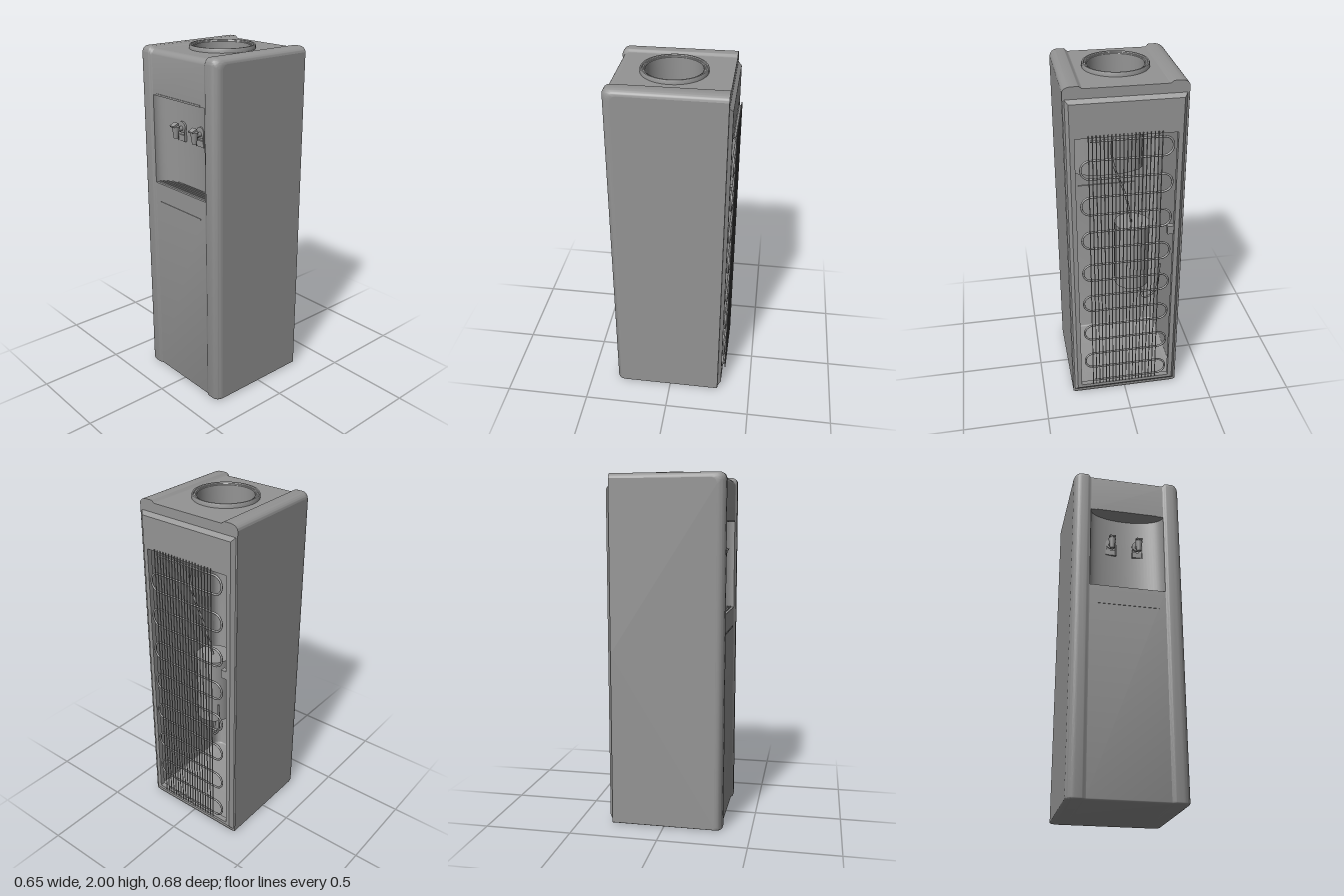
import * as THREE from 'three';
import { toCreasedNormals } from 'three/addons/utils/BufferGeometryUtils.js';

const mat = new THREE.MeshStandardMaterial({ color: 0x949494, side: THREE.DoubleSide });
const BACK = -0.3, FRONT = 0.327, TOP = 1.977, HALF = 0.22;
const ALCOVE_TOP = 1.73, ALCOVE_FLOOR = 1.22;

function add(parent, name, geometry, x = 0, y = 0, z = 0) {
  const mesh = new THREE.Mesh(geometry, mat);
  mesh.name = name;
  mesh.position.set(x, y, z);
  parent.add(mesh);
  return mesh;
}

const box = (p, name, w, h, d, x, y, z) => add(p, name, new THREE.BoxGeometry(w, h, d), x, y, z);

// Skin over rows of [x, y, z] points that all have the same length
function loft(rows, closed = false) {
  const n = rows[0].length, index = [];
  for (let i = 0; i < rows.length - 1; i++) {
    for (let j = 0; j < (closed ? n : n - 1); j++) {
      const k = (j + 1) % n, a = i * n + j, b = i * n + k;
      index.push(a, b, a + n, b, b + n, a + n);
    }
  }
  const g = new THREE.BufferGeometry();
  g.setAttribute('position', new THREE.Float32BufferAttribute(rows.flat(2), 3));
  g.setIndex(index);
  return toCreasedNormals(g, 0.6);
}

// Quarter fillets of the side profile as [z, y]
function topArc(front, top, r = 0.035) {
  return Array.from({ length: 9 }, (_, i) => {
    const a = (i / 8) * Math.PI / 2;
    return [front - r + r * Math.sin(a), top - r + r * Math.cos(a)];
  });
}
function bottomArc(front, bottom, r = 0.015) {
  return Array.from({ length: 6 }, (_, i) => {
    const a = (i / 5) * Math.PI / 2;
    return [front - r + r * Math.cos(a), bottom + r - r * Math.sin(a)];
  });
}
const atX = (profile, x) => profile.map(([z, y]) => [x, y, z]);
const section = ([x, front, top, bottom]) => atX(
  [[BACK, top], ...topArc(front, top), ...bottomArc(front, bottom), [BACK, bottom]], x);

// Raised, rounded side of the cabinet with its flat outer wall
function addSide(g, s, name) {
  const stations = [];
  for (let i = 0; i <= 6; i++) {
    const t = i / 6, rise = t * t * (3 - 2 * t);
    stations.push([s * (HALF + 0.022 * t), FRONT + 0.01 * rise, TOP + 0.013 * rise, 0]);
  }
  for (let i = 0; i <= 10; i++) {
    const a = (i / 10) * Math.PI / 2, inset = 1 - Math.cos(a);
    stations.push([s * (0.278 + 0.045 * Math.sin(a)),
      0.337 - 0.045 * inset, 1.99 - 0.03 * inset, 0.01 * inset]);
  }
  const rows = stations.map(section), edge = rows[rows.length - 1];
  add(g, name + 'Panel', loft(rows));
  add(g, name + 'Wall', loft([edge, edge.map(([x]) => [x, 1, BACK])]));
  add(g, name + 'RearTopEdge', loft([[0, 0, TOP], ...stations].map(
    ([x, , top]) => [[x, top, BACK], [x, 1.92, BACK]])));
}

function createCabinet(g) {
  addSide(g, 1, 'leftSide');
  addSide(g, -1, 'rightSide');

  // Top plate with the round opening for the bottle
  const edge = FRONT - 0.035;
  const plate = new THREE.Shape([[-HALF, BACK], [HALF, BACK], [HALF, edge], [-HALF, edge]]
    .map(([x, z]) => new THREE.Vector2(x, -z)));
  plate.holes.push(new THREE.Path().absarc(0, -0.013, 0.16, 0, Math.PI * 2));
  add(g, 'topPlate', new THREE.ShapeGeometry(plate, 32).rotateX(-Math.PI / 2), 0, TOP, 0);

  // Header above the alcove; door and base below it
  const span = (profile) => loft([atX(profile, -HALF), atX(profile, HALF)]);
  add(g, 'header', span([...topArc(FRONT, TOP), [FRONT, ALCOVE_TOP]]));
  add(g, 'doorAndBase', span([[FRONT, ALCOVE_FLOOR], ...bottomArc(FRONT, 0), [BACK, 0]]));
  box(g, 'headerLip', 0.37, 0.01, 0.01, 0, 1.735, 0.326);
  box(g, 'doorHandleLip', 0.36, 0.008, 0.01, 0, 1.108, 0.325);
}

function createAlcove(g) {
  // Softly concave back wall, floor and ceiling
  const curve = Array.from({ length: 33 }, (_, i) => {
    const a = (i / 32) * Math.PI;
    return [-HALF * Math.cos(a), FRONT - 0.1 * Math.pow(Math.sin(a), 0.9)];
  });
  add(g, 'alcoveWall', loft([ALCOVE_FLOOR, ALCOVE_TOP].map((y) => curve.map(([x, z]) => [x, y, z]))));
  const shape = new THREE.Shape(curve.map(([x, z]) => new THREE.Vector2(x, -z)));
  for (const [name, y] of [['alcoveFloor', ALCOVE_FLOOR], ['alcoveCeiling', ALCOVE_TOP]]) {
    add(g, name, new THREE.ShapeGeometry(shape).rotateX(-Math.PI / 2), 0, y, 0);
  }
  // Drip slats follow the width of the curved floor
  for (let i = 0; i < 5; i++) {
    const z = 0.245 + i * 0.016, width = 2 * HALF * Math.sqrt(1 - ((FRONT - z) / 0.1) ** 2);
    box(g, 'dripSlat', width * 0.95, 0.008, 0.008, 0, 1.224, z);
  }

  // Two taps with a paddle lever and a downward spout
  for (const x of [-0.083, 0.078]) {
    const tap = new THREE.Group();
    tap.name = 'tap';
    tap.position.set(x, 1.54, 0.236);
    g.add(tap);
    const pipe = (name, r1, r2, h, y, z, flat) => {
      const geo = new THREE.CylinderGeometry(r1, r2, h, 20);
      add(tap, name, flat ? geo.rotateX(Math.PI / 2) : geo, 0, y, z);
    };
    pipe('tapCollar', 0.032, 0.032, 0.012, 0.018, 0, true);
    pipe('tapNeck', 0.014, 0.014, 0.05, 0.01, 0.02, true);
    pipe('tapBody', 0.022, 0.013, 0.065, -0.005, 0.045);
    pipe('tapCap', 0.012, 0.022, 0.014, 0.034, 0.045);
    box(tap, 'tapLever', 0.036, 0.01, 0.036, 0, 0.038, 0.056).rotation.x = 0.4;
    box(tap, 'tapPlate', 0.064, 0.035, 0.012, 0, -0.043, 0);
    for (const s of [-1, 1]) box(tap, 'tapBracket', 0.006, 0.07, 0.012, s * 0.029, -0.025, 0.004);
  }
}

function createReservoir(g) {
  // Rim, straight-walled basin and the spike in the middle
  const profile = [[0.181, 1.97], [0.181, 1.994], [0.178, 2], [0.17, 2], [0.167, 1.994], [0.16, 1.994],
    [0.157, 1.99], [0.153, 1.99], [0.153, 1.8], [0.015, 1.8], [0.015, 1.86],
    [0.008, 1.865], [0.008, 1.872], [0, 1.872]].map(([r, y]) => new THREE.Vector2(r, y));
  add(g, 'bottleSeat', toCreasedNormals(new THREE.LatheGeometry(profile, 64), 0.6), 0, 0, 0.013);
}

function createBack(g) {
  // Chamfered frame around the open rear, with a wide upper panel
  const ring = ([w, y0, y1, z]) => [[-w, y0, z], [w, y0, z], [w, y1, z], [-w, y1, z]];
  add(g, 'rearFrame', loft([[0.322, 0.005, 1.945, -0.3], [0.312, 0.02, 1.925, -0.3],
    [0.295, 0.045, 1.905, -0.32], [0.27, 0.065, 1.72, -0.32], [0.27, 0.065, 1.72, -0.29]].map(ring), true));

  // Condenser: one serpentine tube crossed by thin upright wires
  const path = new THREE.CurvePath();
  const rows = 16, pitch = 0.107, y0 = 0.1, r = pitch / 2, w = 0.245 - r, z = -0.326;
  for (let i = 0; i < rows; i++) {
    const s = i % 2 ? 1 : -1, y = y0 + i * pitch;
    path.add(new THREE.LineCurve3(new THREE.Vector3(-s * w, y, z), new THREE.Vector3(s * w, y, z)));
    if (i === rows - 1) break;
    const k = r * 1.333;
    path.add(new THREE.CubicBezierCurve3(new THREE.Vector3(s * w, y, z), new THREE.Vector3(s * (w + k), y, z),
      new THREE.Vector3(s * (w + k), y + pitch, z), new THREE.Vector3(s * w, y + pitch, z)));
  }
  add(g, 'condenserTube', new THREE.TubeGeometry(path, 800, 0.006, 8));
  for (let i = 0; i < 20; i++) {
    add(g, 'condenserWire', new THREE.CylinderGeometry(0.003, 0.003, 1.66, 6), -0.182 + i * 0.0202, 0.91, -0.337);
  }

  // Cold tank inside the cabinet with its pipes, and the power inlet
  add(g, 'coldTank', new THREE.CylinderGeometry(0.1, 0.1, 0.4, 32), -0.06, 0.92, -0.17);
  const pipes = [[[-0.06, 1.1, -0.17], [-0.02, 1.3, -0.2], [0.06, 1.55, -0.22], [0.05, 1.74, -0.2]],
    [[-0.1, 0.74, -0.2], [-0.12, 0.64, -0.25], [-0.18, 0.7, -0.28], [-0.2, 0.9, -0.3]]];
  for (const points of pipes) {
    const curve = new THREE.CatmullRomCurve3(points.map((p) => new THREE.Vector3(...p)));
    add(g, 'coolingPipe', new THREE.TubeGeometry(curve, 30, 0.006, 8));
  }
  box(g, 'powerInlet', 0.035, 0.05, 0.03, -0.25, 1.13, -0.303);
}

export function createModel() {
  const model = new THREE.Group();
  model.name = 'waterDispenser';
  const parts = { cabinet: createCabinet, alcove: createAlcove, reservoir: createReservoir, back: createBack };
  for (const [name, build] of Object.entries(parts)) {
    const group = new THREE.Group();
    group.name = name;
    build(group);
    model.add(group);
  }
  return model;
}
